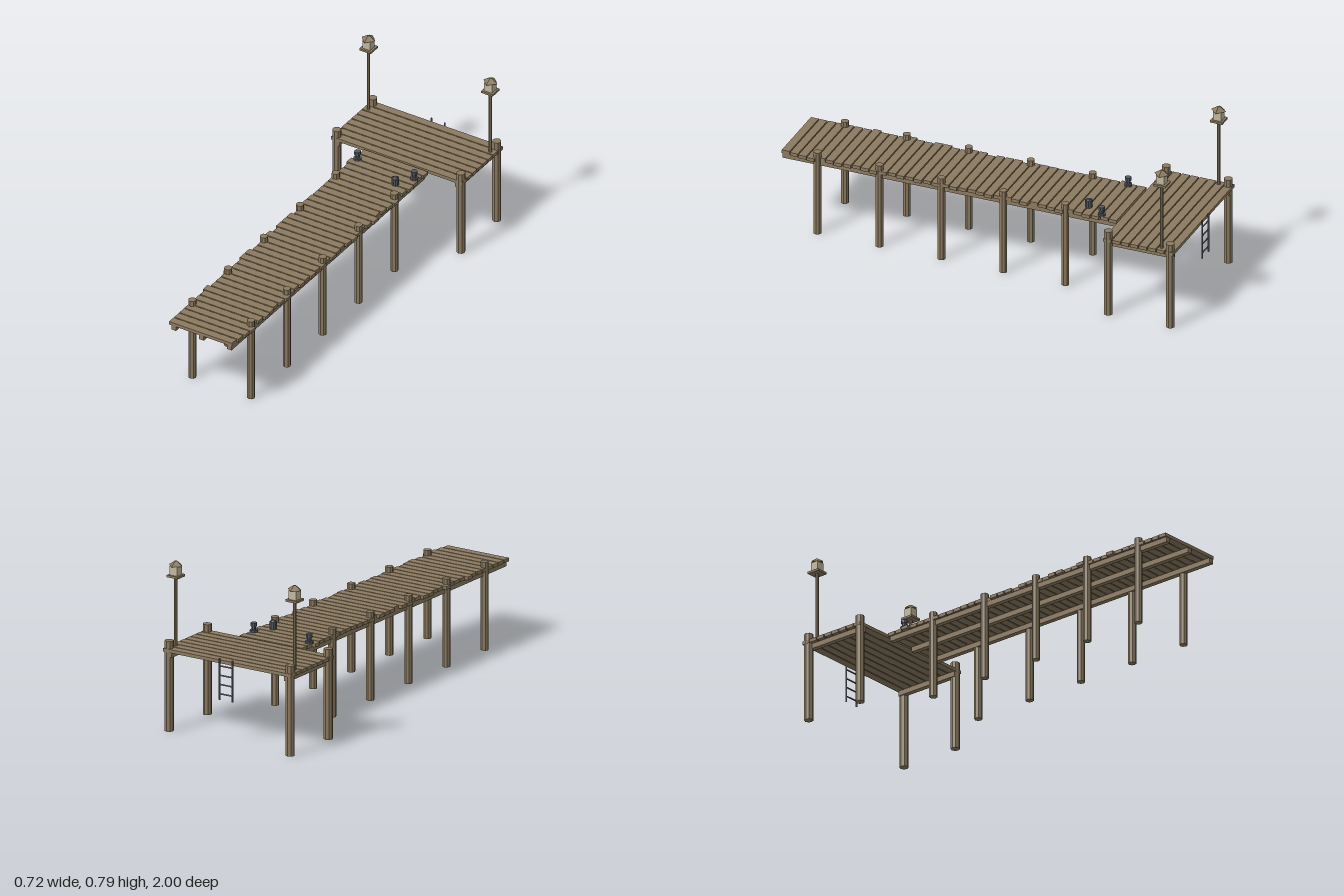
import * as THREE from 'three';

const mat = (name, color) => {
  const m = new THREE.MeshStandardMaterial({ color });
  m.name = name;
  m.flatShading = true;
  return m;
};

export function createModel() {
  const wood = mat('weathered wood', 0x8b7a5f);
  const glass = mat('lantern cream', 0xc2b89c);
  const metal = mat('ladder steel', 0x686c73);
  const iron = mat('dark iron', 0x545761);

  const root = new THREE.Group();
  root.name = 'pier';
  const group = (name) => {
    const g = new THREE.Group();
    g.name = name;
    root.add(g);
    return g;
  };
  const add = (parent, name, geo, m, x, y, z) => {
    const mesh = new THREE.Mesh(geo, m);
    mesh.name = name;
    mesh.position.set(x, y, z);
    parent.add(mesh);
    return mesh;
  };
  const box = (p, name, m, w, h, d, x, y, z) =>
    add(p, name, new THREE.BoxGeometry(w, h, d), m, x, y, z);
  // upright cylinder spanning y0 to y1
  const rod = (p, name, m, r, y0, y1, x, z, sides = 8, rTop = r) =>
    add(p, name, new THREE.CylinderGeometry(rTop, r, y1 - y0, sides), m, x, (y0 + y1) / 2, z);

  // Deck planks: uneven along the walkway, even on the platform
  const pitch = 0.0432, plankY = 0.381, plankH = 0.016;
  const walkway = group('walkway');
  const shifts = [-0.004, 0, 0.003, 0.006, -0.005, -0.001, 0.004];
  for (let i = 0; i < 38; i++) {
    const width = 0.342 + ((i * 5) % 4 - 1.5) * 0.007;
    box(walkway, 'walkwayPlank', wood, width, plankH, 0.038,
      shifts[i % 7], plankY, 0.981 - i * pitch);
  }
  const platform = group('platform');
  for (let i = 0; i < 8; i++) {
    box(platform, 'platformPlank', wood, 0.694, plankH, 0.038,
      0, plankY, -0.666 - i * pitch);
  }

  // Beams under the deck
  for (const x of [-0.147, 0, 0.147]) {
    box(walkway, 'walkwayBeam', wood, 0.024, 0.024, 1.63, x, 0.361, 0.183);
  }
  for (const x of [-0.317, 0.317]) {
    box(platform, 'platformBeam', wood, 0.024, 0.024, 0.33, x, 0.361, -0.815);
  }

  const posts = group('posts');
  const lanterns = group('lanterns');
  const bollards = group('bollards');
  for (const s of [-1, 1]) {
    // Support posts
    for (let i = 0; i < 5; i++) {
      rod(posts, 'walkwayPost', wood, 0.0185, 0, 0.415, s * 0.155, 0.828 - i * 0.302);
    }
    for (const z of [-0.664, -0.966]) {
      rod(posts, 'platformPost', wood, 0.0207, 0, 0.424, s * 0.328, z);
    }

    // Lantern on a pole
    const lx = s * 0.322, lz = -0.922;
    rod(lanterns, 'lanternPole', wood, 0.0078, 0.385, 0.713, lx, lz);
    box(lanterns, 'lanternTray', wood, 0.06, 0.01, 0.06, lx, 0.717, lz);
    box(lanterns, 'lanternBody', glass, 0.04, 0.045, 0.04, lx, 0.743, lz);
    rod(lanterns, 'lanternRoof', wood, 0.036, 0.765, 0.786, lx, lz, 4, 0.006);

    // Mooring bollard
    const bx = s * 0.15, bz = -0.555;
    rod(bollards, 'bollardBase', iron, 0.019, 0.388, 0.399, bx, bz);
    rod(bollards, 'bollardStem', iron, 0.01, 0.398, 0.418, bx, bz);
    rod(bollards, 'bollardCap', iron, 0.015, 0.416, 0.432, bx, bz);
  }

  // Bucket with a low lid and grip
  const bucket = group('bucket');
  rod(bucket, 'bucketBody', iron, 0.016, 0.388, 0.424, 0.102, -0.472, 10, 0.018);
  rod(bucket, 'bucketLid', iron, 0.013, 0.424, 0.43, 0.102, -0.472, 10, 0.009);

  // Ladder at the far end
  const ladder = group('ladder');
  for (const x of [-0.035, 0.035]) {
    rod(ladder, 'ladderRail', metal, 0.0042, 0.205, 0.4, x, -0.9955);
  }
  for (const y of [0.233, 0.277, 0.32, 0.364]) {
    const rung = add(ladder, 'ladderRung',
      new THREE.CylinderGeometry(0.0035, 0.0035, 0.07, 6), metal, 0, y, -0.9955);
    rung.rotation.z = Math.PI / 2;
  }

  return root;
}
